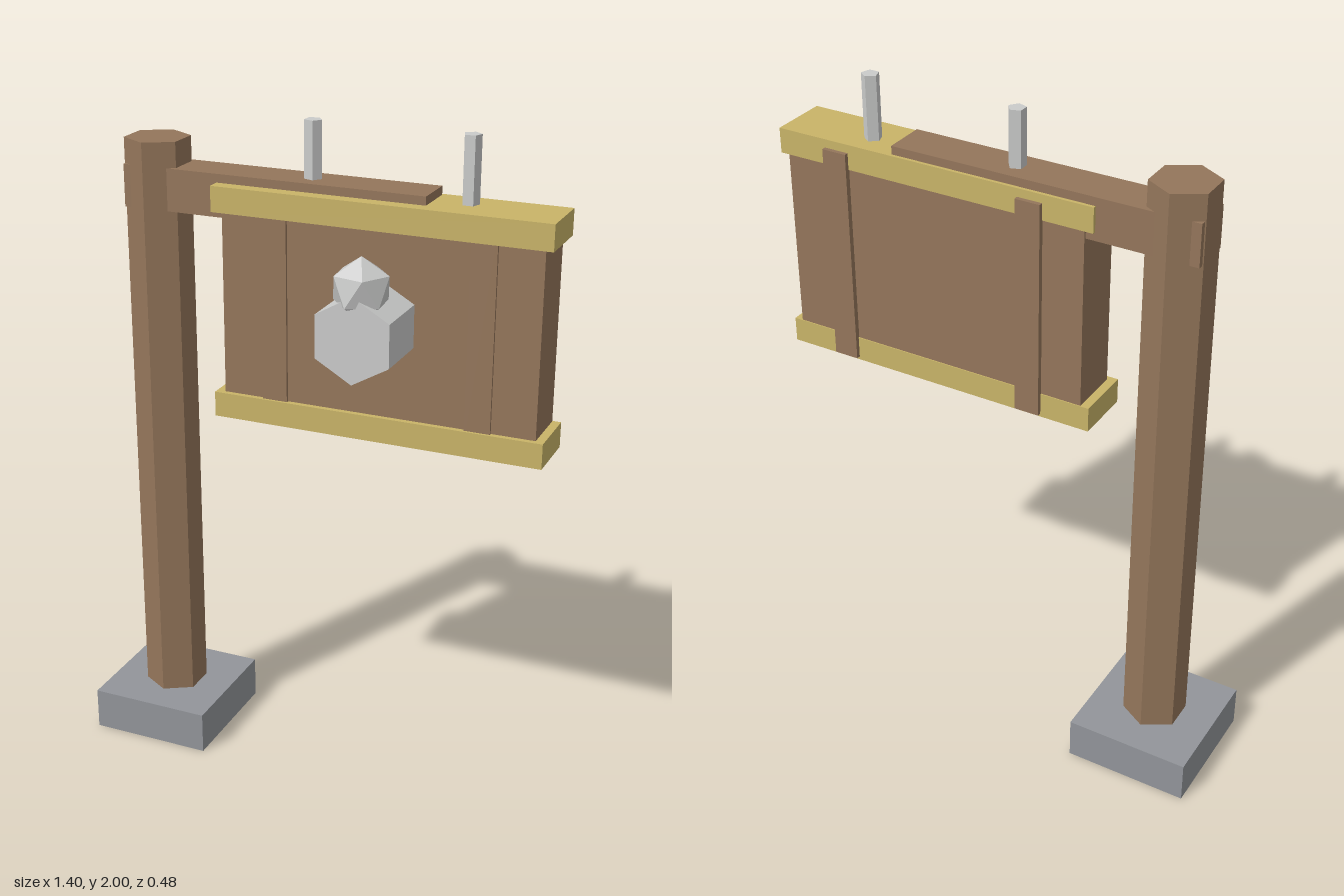
import * as THREE from 'three';

const mat = (name, color) => {
  const m = new THREE.MeshStandardMaterial({ color, flatShading: true });
  m.name = name;
  return m;
};

export function createModel() {
  const group = new THREE.Group();
  const wood = mat('brown wood', 0x94765b);
  const trim = mat('yellow trim', 0xc9b468);
  const stone = mat('grey stone', 0x92959a);
  const metal = mat('light metal', 0xcacbca);

  const add = (name, geometry, material, x = 0, y = 0, z = 0) => {
    const mesh = new THREE.Mesh(geometry, material);
    mesh.name = name;
    mesh.position.set(x, y, z);
    group.add(mesh);
    return mesh;
  };
  // box given by its limits on each axis
  const box = (name, material, [x0, x1], [y0, y1], [z0, z1]) =>
    add(name, new THREE.BoxGeometry(x1 - x0, y1 - y0, z1 - z0), material,
      (x0 + x1) / 2, (y0 + y1) / 2, (z0 + z1) / 2);

  // footing, hexagonal post and the arm that carries the sign
  box('footing', stone, [-0.705, -0.325], [0, 0.13], [-0.245, 0.14]);
  add('post', new THREE.CylinderGeometry(0.096, 0.096, 1.79, 6), wood, -0.515, 1.015, -0.052);
  box('arm', wood, [-0.595, 0.33], [1.71, 1.835], [-0.118, 0.01]);

  // sign board with trims along the top and bottom
  box('board', wood, [-0.27, 0.675], [1.14, 1.79], [-0.125, 0.034]);
  box('topTrim', trim, [-0.297, 0.7], [1.735, 1.81], [-0.128, 0.05]);
  box('bottomTrim', trim, [-0.297, 0.7], [1.12, 1.195], [-0.128, 0.05]);

  // vertical slats, seen on both faces of the board
  for (const x of [-0.145, 0.47]) {
    box('slat', wood, [x, x + 0.076], [1.13, 1.785], [-0.141, 0.042]);
  }

  // five-sided hanger rods
  for (const [x, turn] of [[-0.027, 0.3], [0.433, Math.PI]]) {
    const rod = add('hangerRod', new THREE.CylinderGeometry(0.026, 0.026, 0.23, 5), metal, x, 1.885, -0.054);
    rod.rotation.y = turn;
  }

  // emblem: hexagonal block with a faceted ball on top
  const block = new THREE.CylinderGeometry(0.125, 0.125, 0.19, 6).rotateX(Math.PI / 2);
  add('emblemBlock', block, metal, 0.205, 1.475, 0.125);
  const ball = new THREE.IcosahedronGeometry(0.088, 0)
    .rotateX(-Math.atan((1 + Math.sqrt(5)) / 2))
    .rotateY(Math.PI - 0.22);
  add('emblemBall', ball, metal, 0.205, 1.607, 0.155);

  return group;
}
